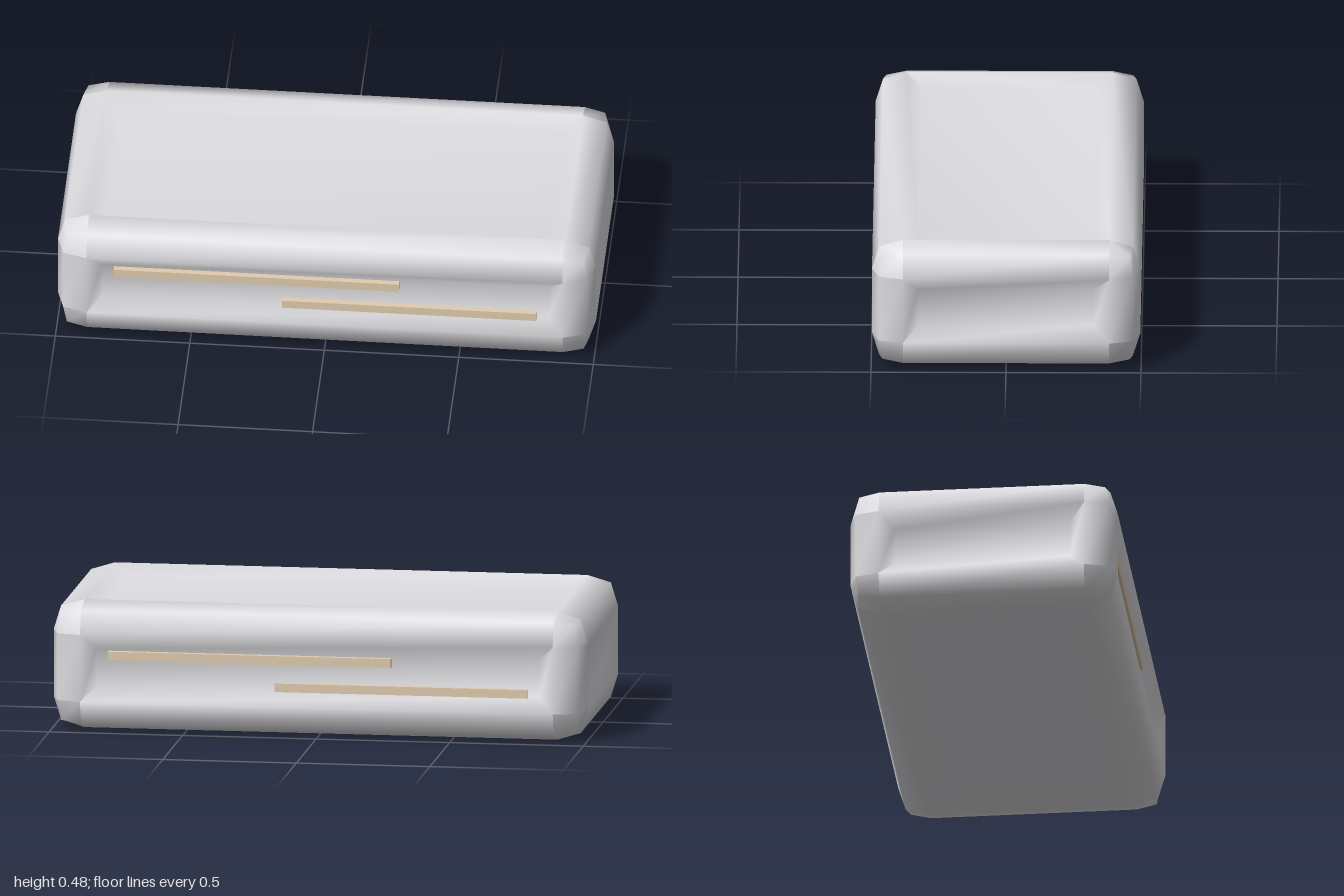
import * as THREE from 'three';
import { mergeVertices } from 'three/addons/utils/BufferGeometryUtils.js';

const shellGrey = new THREE.MeshStandardMaterial({ color: 0xdedde1 });
shellGrey.name = 'shellGrey';
const stripTan = new THREE.MeshStandardMaterial({ color: 0xe0ccae });
stripTan.name = 'stripTan';

const HALF = [1, 0.241, 0.497]; // half width, height, depth
const ROUND = 0.115;            // edge radius, also the ridge of each frame
const FLOOR = 0.172;            // inset of each recessed panel
const DEPTH = 0.045;            // depth of the recess
const BULGE = [1, 0.765, 0.66]; // offset on a face, an edge and a corner

// Box with rounded edges and a mitred, sunken panel on every side
function shellGeometry() {
  const box = new THREE.BoxGeometry(1, 1, 1, 5, 5, 5);
  box.deleteAttribute('normal');
  box.deleteAttribute('uv');
  const geo = mergeVertices(box, 1e-4);
  const pos = geo.attributes.position;
  for (let i = 0; i < pos.count; i++) {
    const raw = [pos.getX(i), pos.getY(i), pos.getZ(i)];
    // ring 0 = outer edge, 1 = ridge, 2 = panel floor
    const ring = raw.map(c => Math.round((0.5 - Math.abs(c)) * 5));
    const sunken = ring.filter(r => r === 2).length === 2;
    const edges = ring.filter(r => r === 0).length;
    const push = ROUND * BULGE[edges - 1] - (sunken ? DEPTH : 0);
    const inset = sunken ? FLOOR : ROUND;
    const p = raw.map((c, a) =>
      Math.sign(c) * (HALF[a] + (ring[a] === 0 ? push - ROUND : -inset)));
    pos.setXYZ(i, ...p);
  }
  geo.computeVertexNormals();
  return geo;
}

// Pair of staggered strips set in the front panel
function stripPair(name) {
  const group = new THREE.Group();
  group.name = name;
  const front = 0.474, back = 0.445;
  const add = (label, x0, x1, y0, y1) => {
    const mesh = new THREE.Mesh(new THREE.BoxGeometry(x1 - x0, y1 - y0, front - back), stripTan);
    mesh.position.set((x0 + x1) / 2, (y0 + y1) / 2, (front + back) / 2);
    mesh.name = label;
    group.add(mesh);
  };
  add('upperStrip', -0.785, 0.275, 0.27, 0.303);
  add('lowerStrip', -0.16, 0.785, 0.168, 0.2);
  return group;
}

export function createModel() {
  const model = new THREE.Group();
  model.name = 'panelledBox';

  const shell = new THREE.Mesh(shellGeometry(), shellGrey);
  shell.name = 'shell';
  shell.position.y = HALF[1];
  model.add(shell);

  // Strips on the front, and turned half round on the back
  const back = stripPair('backStrips');
  back.rotation.y = Math.PI;
  model.add(stripPair('frontStrips'), back);
  return model;
}
